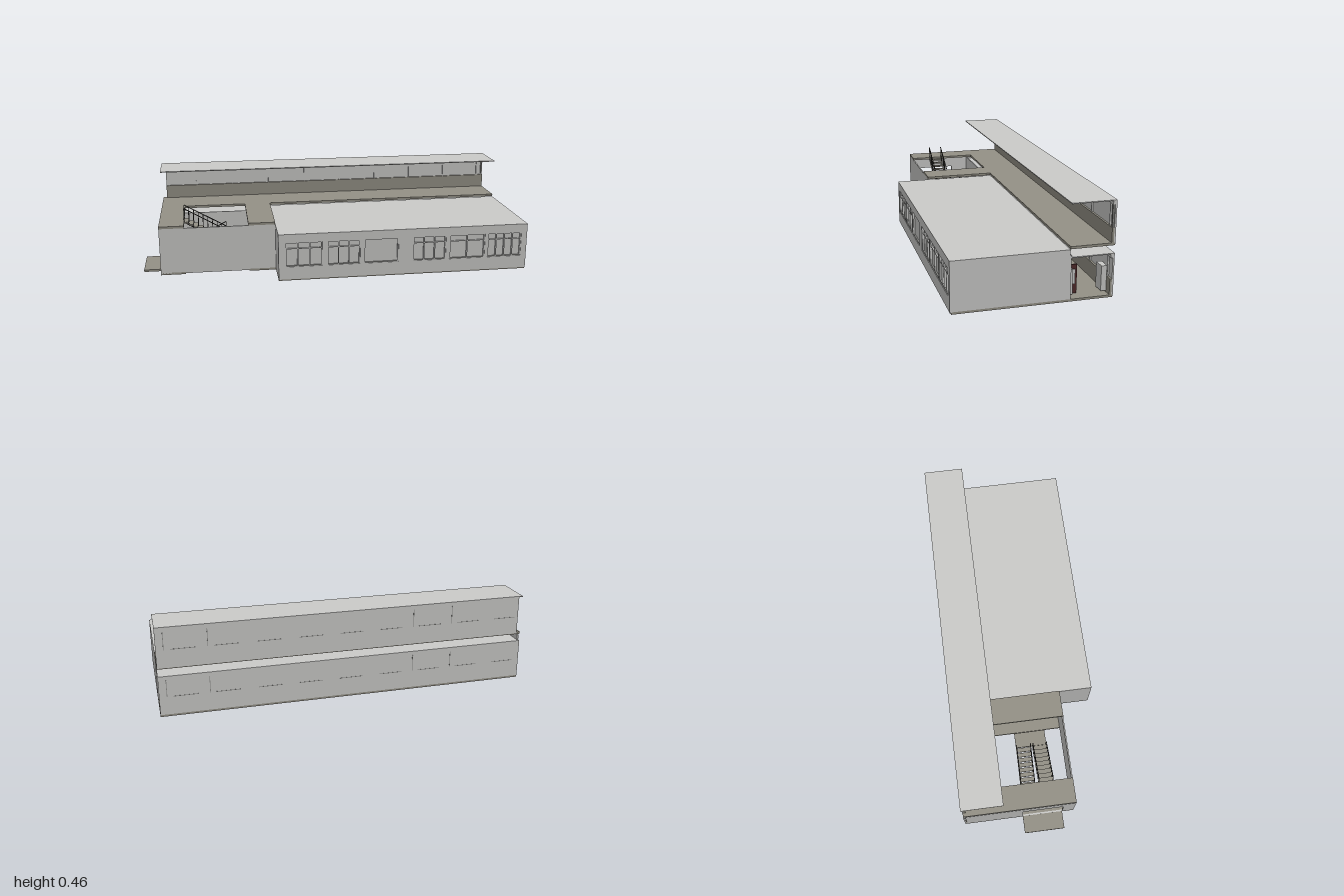
import * as THREE from 'three';

const material = (name, color) => Object.assign(new THREE.MeshStandardMaterial({ color }), { name });

export function createModel() {
  const plaster = material('light plaster', 0xcbcbc9);
  const concrete = material('olive concrete', 0x949186);
  const frame = material('grey frame', 0x8e8e8b);
  const metal = material('dark metal', 0x3b3a37);
  const doorRed = material('dark red door', 0x502b2b);

  const model = new THREE.Group();
  model.name = 'building';
  const body = new THREE.Group();
  body.name = 'body';
  body.rotation.y = 0.009; // the plan sits slightly askew
  model.add(body);

  // Box given by its extents on each axis
  const box = (name, mat, x0, x1, y0, y1, z0, z1) => {
    const mesh = new THREE.Mesh(new THREE.BoxGeometry(x1 - x0, y1 - y0, z1 - z0), mat);
    mesh.position.set((x0 + x1) / 2, (y0 + y1) / 2, (z0 + z1) / 2);
    mesh.name = name;
    body.add(mesh);
    return mesh;
  };
  // Thin square bar between two points in the x-y plane
  const bar = (name, x0, y0, x1, y1, z, t) => {
    const mesh = new THREE.Mesh(new THREE.BoxGeometry(Math.hypot(x1 - x0, y1 - y0), t, t), metal);
    mesh.position.set((x0 + x1) / 2, (y0 + y1) / 2, z);
    mesh.rotation.z = Math.atan2(y1 - y0, x1 - x0);
    mesh.name = name;
    body.add(mesh);
  };
  // Wall with rectangular openings, extruded towards +z
  const wall = (name, mat, x0, x1, y0, y1, depth, holes) => {
    const rect = (P, a, b, c, d) => {
      const p = new P();
      p.moveTo(a, c); p.lineTo(b, c); p.lineTo(b, d); p.lineTo(a, d); p.closePath();
      return p;
    };
    const shape = rect(THREE.Shape, x0, x1, y0, y1);
    holes.forEach((h) => shape.holes.push(rect(THREE.Path, ...h)));
    const mesh = new THREE.Mesh(new THREE.ExtrudeGeometry(shape, { depth, bevelEnabled: false }), mat);
    mesh.name = name;
    body.add(mesh);
    return mesh;
  };

  const L = -0.908, R = 0.998, BACK = -0.381, MID = -0.169, COURT = 0.205, HALL = -0.31;

  // Floor slabs, both leaving the stairwell open
  for (const [name, y0, y1] of [['groundFloor', 0, 0.011], ['upperFloor', 0.25, 0.262]]) {
    box(name + 'Back', concrete, L, R, y0, y1, BACK + 0.002, MID);
    box(name + 'Left', concrete, L, -0.78, y0, y1, MID, COURT);
    box(name + 'Right', concrete, -0.45, HALL, y0, y1, MID, COURT);
  }
  box('hallFloor', concrete, HALL, R, 0, 0.011, MID, 0.374);
  box('entrancePad', concrete, -0.998, L, 0, 0.011, -0.07, 0.143);

  // Front hall shell
  box('hallRoof', plaster, HALL, R, 0.24, 0.248, MID, 0.38);
  box('hallLeftWall', plaster, HALL, HALL + 0.01, 0.011, 0.24, MID, 0.37);
  box('hallRightWall', plaster, R - 0.01, R, 0.011, 0.24, MID, 0.37);
  box('windowPanes', plaster, HALL + 0.01, R - 0.01, 0.05, 0.22, 0.364, 0.369);

  // Facade windows: left, right, number of panes
  const windows = [[-0.276, -0.087, 3], [-0.06, 0.109, 3], [0.129, 0.31, 1],
    [0.386, 0.561, 3], [0.58, 0.77, 2], [0.785, 0.967, 4]];
  const y0 = 0.075, y1 = 0.203;
  wall('hallFacade', plaster, HALL, R, 0.008, 0.24, 0.011,
    windows.map(([a, b]) => [a, b, y0, y1])).position.z = 0.369;
  for (const [a, b, n] of windows) {
    for (let i = 0; i <= n; i++) {
      const x = a + 0.003 + ((b - a - 0.006) * i) / n;
      box('windowMullion', plaster, x - 0.003, x + 0.003, y0, y1, 0.369, 0.377);
    }
    box('windowSill', frame, a, b, y0, y0 + 0.004, 0.369, 0.377);
    box('windowHead', plaster, a, b, y1 - 0.004, y1, 0.369, 0.377);
    if (n > 1) box('windowTransom', plaster, a, b, 0.168, 0.172, 0.369, 0.376);
  }

  // Stair court walls
  box('courtFrontWall', plaster, L, HALL, 0.005, 0.25, COURT - 0.007, COURT);
  const end = wall('courtEndWall', plaster, -COURT, -BACK - 0.012, 0.011, 0.24, 0.008,
    [[-0.143, 0.07, 0.012, 0.165]]);
  end.rotation.y = Math.PI / 2;
  end.position.x = L;
  box('corridorFrontWall', plaster, L, R, 0.011, 0.222, MID - 0.006, MID);

  // Two stacked corridors: back wall, parapet, ceiling, windows and lamps
  for (const [base, top] of [[0.011, 0.212], [0.255, 0.462]]) {
    const left = base > 0.1 ? -0.888 : L;
    const sill = base + 0.078, head = top - 0.022;
    box('backWall', plaster, left, R, base, top, BACK, BACK + 0.008);
    box('parapet', concrete, left, R, base, sill, BACK + 0.008, BACK + 0.018);
    box('windowHeader', plaster, left, R, head, top - 0.005, BACK + 0.008, BACK + 0.018);
    box('corridorRoof', plaster, L, R, top - 0.005, top, BACK, MID);
    for (let i = 0; i < 9; i++) {
      const x = -0.72 + i * 0.21;
      box('backMullion', plaster, x - 0.002, x + 0.002, sill, head, BACK + 0.008, BACK + 0.016);
      box('sillTrim', frame, x - 0.15, x - 0.03, sill + 0.014, sill + 0.017, BACK - 0.0008, BACK + 0.001);
    }
    for (const x of [-0.51, -0.3, 0.75, 0.96]) {
      box('wallJoint', frame, x - 0.0015, x + 0.0015, sill + 0.014, head, BACK - 0.0008, BACK + 0.001);
    }
    for (let i = 0; i < 9; i++) {
      const x = -0.81 + i * 0.21;
      box('ceilingLamp', plaster, x - 0.035, x + 0.035, top - 0.008, top - 0.005, -0.28, -0.245);
    }
  }
  box('endPost', frame, R - 0.012, R - 0.004, 0.333, 0.44, BACK + 0.009, BACK + 0.017);

  // Doors inside the ground corridor
  box('redDoor', doorRed, 0.93, 0.938, 0.011, 0.152, -0.227, MID - 0.006);
  box('doorPanel', plaster, 0.938, 0.945, 0.06, 0.13, -0.216, -0.196);
  box('cabinet', plaster, 0.93, 0.965, 0.018, 0.14, -0.197, MID - 0.006);
  box('cabinet', plaster, 0.90, 0.96, 0.018, 0.14, BACK + 0.018, -0.337);

  // Half-turn stair: lower flight, landing, upper flight
  const steps = 9, xTop = -0.78, xMid = -0.56, mid = 0.13, run = (xMid - xTop) / steps;
  box('stairLanding', concrete, xMid, -0.48, mid - 0.01, mid, -0.062, 0.103);
  const flights = [[-0.062, 0.018, 0.011, 'lower'], [0.025, 0.103, 0.258, 'upper']];
  for (const [za, zb, yTop, name] of flights) {
    const slope = (mid - yTop) / (xMid - xTop);
    for (let i = 0; i < steps; i++) {
      const x = xTop + i * run, y = yTop + slope * (i + 0.5) * run;
      box(name + 'Tread', concrete, x, x + run * 0.9, y - 0.006, y, za, zb);
    }
    for (const z of [za + 0.003, zb - 0.003]) {
      bar(name + 'Stringer', xTop, yTop - 0.008, xMid, mid - 0.008, z, 0.005);
      bar(name + 'Handrail', xTop, yTop + 0.067, xMid, mid + 0.067, z, 0.004);
      for (let i = 0; i <= steps; i++) {
        const x = xTop + i * run, y = yTop + slope * i * run;
        bar(name + 'Baluster', x, y - 0.008, x, y + 0.067, z, 0.003);
      }
    }
  }
  return model;
}
